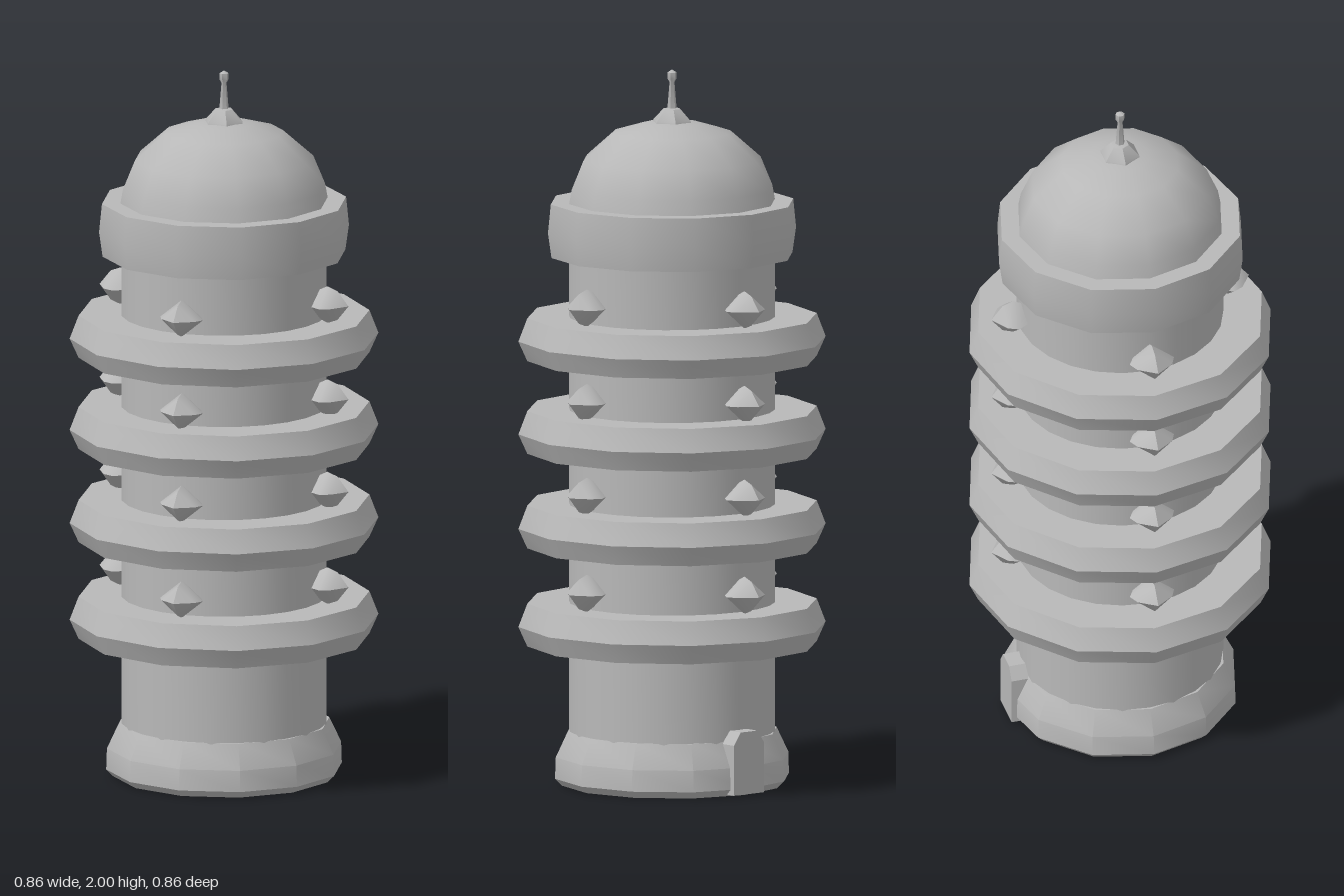
import * as THREE from 'three';
import { toCreasedNormals } from 'three/addons/utils/BufferGeometryUtils.js';

const stone = new THREE.MeshStandardMaterial({ color: 0xb8b8b8 });
stone.name = 'grey stone';

// Turned part: profile of [radius, height] from bottom to top
function turned(name, profile, sides, crease = 0.6) {
  const lathe = new THREE.LatheGeometry(profile.map(([r, y]) => new THREE.Vector2(r, y)), sides);
  const mesh = new THREE.Mesh(toCreasedNormals(lathe, crease), stone);
  mesh.name = name;
  return mesh;
}

export function createModel() {
  const tower = new THREE.Group();
  tower.name = 'tower';

  // Main shaft and flared foot
  tower.add(turned('shaft', [[0, 0.005], [0.287, 0.005], [0.287, 1.6]], 24));
  tower.add(turned('foot', [[0, 0], [0.31, 0], [0.33, 0.02], [0.328, 0.08], [0.295, 0.15], [0.27, 0.15]], 12));

  // Balcony ledges, each with four lamps above it
  [0.45, 0.725, 0.99, 1.25].forEach((y, level) => {
    const ledge = turned('ledge', [
      [0.27, -0.06], [0.405, -0.06], [0.43, -0.005], [0.405, 0.06], [0.27, 0.06],
    ], 12, 0.75);
    ledge.position.y = y;
    ledge.rotation.y = -0.05;
    tower.add(ledge);

    for (let i = 0; i < 4; i++) {
      const lamp = turned('lamp', [
        [0.04, 0.27], [0.064, 0.31], [0.05, 0.34], [0, 0.373],
      ], 4, 0.8);
      lamp.geometry.rotateX(Math.PI / 2);
      lamp.geometry.scale(1, 0.82, 1);
      lamp.position.y = [0.56, 0.832, 1.095, 1.36][level];
      lamp.rotation.y = i * Math.PI / 2;
      tower.add(lamp);
    }
  });

  // Crown ring under the dome
  tower.add(turned('crown', [
    [0.27, 1.48], [0.34, 1.48], [0.35, 1.55], [0.342, 1.63], [0.27, 1.63],
  ], 12));

  // Dome, knob and thin spire with a small tip
  tower.add(turned('dome', [
    [0.292, 1.62], [0.283, 1.67], [0.25, 1.75], [0.165, 1.825], [0.08, 1.85], [0, 1.86],
  ], 12, 0.9));
  const knob = turned('knob', [[0.058, 1.845], [0.055, 1.858], [0.025, 1.89], [0, 1.895]], 6);
  knob.rotation.y = Math.PI / 6;
  tower.add(knob);
  tower.add(turned('spire', [
    [0.014, 1.88], [0.007, 1.965], [0.013, 1.975], [0.013, 1.992], [0, 2],
  ], 6));

  // Arched door at the back of the foot
  const arch = new THREE.Shape([
    [-0.055, 0.005], [0.055, 0.005], [0.055, 0.145], [0.03, 0.18], [-0.03, 0.18], [-0.055, 0.145],
  ].map(([x, y]) => new THREE.Vector2(x, y)));
  const door = new THREE.Mesh(new THREE.ExtrudeGeometry(arch, { depth: 0.07, bevelEnabled: false }), stone);
  door.name = 'door';
  door.position.z = -0.33;
  tower.add(door);

  return tower;
}
